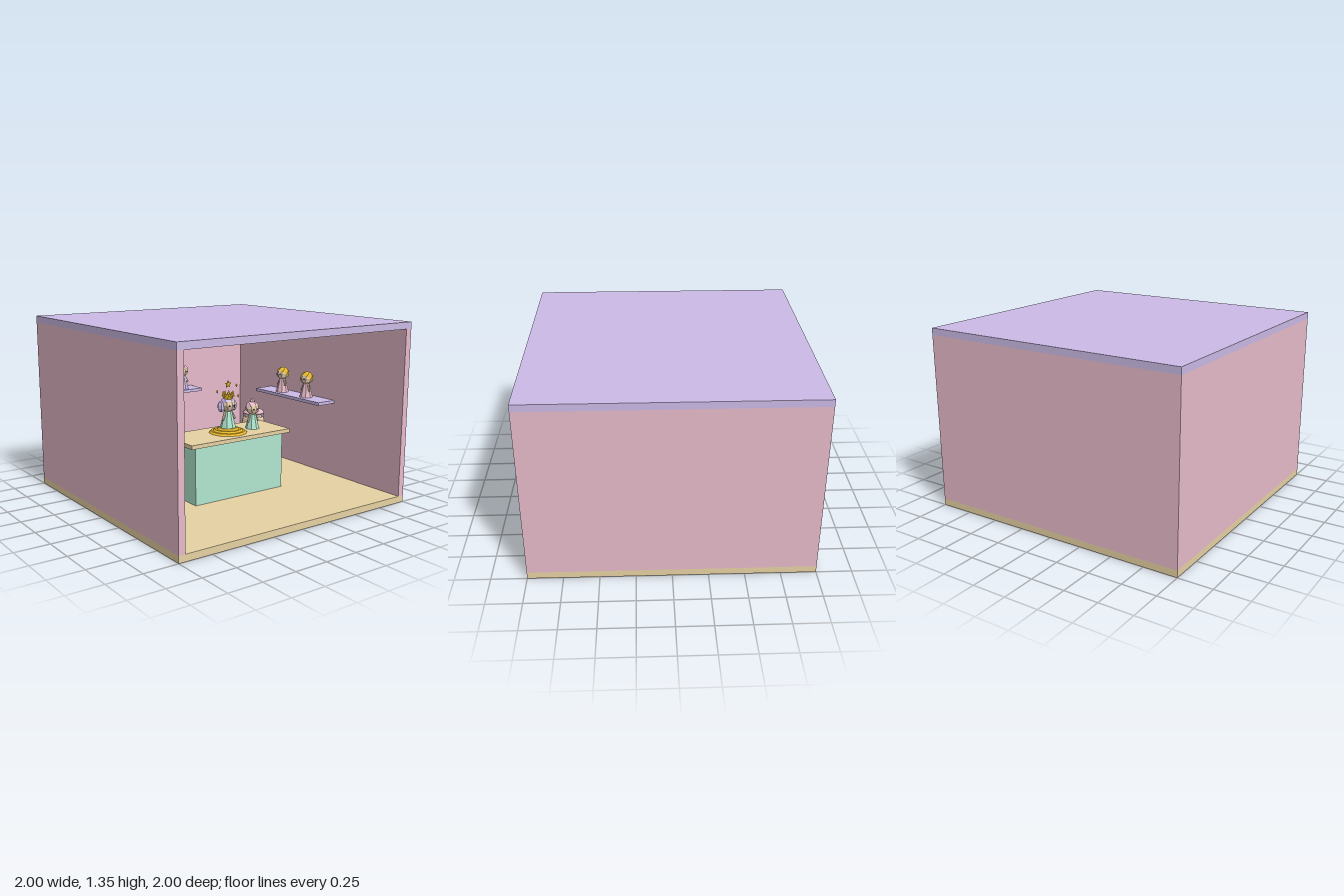
import * as THREE from 'three';

const paint = (name, color) => new THREE.MeshStandardMaterial({ name, color, flatShading: true });
const M = {
  pink: paint('pink', 0xf0c2d2),
  lavender: paint('lavender', 0xd4c2f0),
  mint: paint('mint', 0xb8f0d8),
  cream: paint('cream', 0xf0daaa),
  gold: paint('gold', 0xf2c02e),
  skin: paint('skin', 0xf0d8b4),
  white: paint('white', 0xfaeee8),
  dark: paint('dark', 0x3a2c30),
};

function add(parent, name, geometry, material, x = 0, y = 0, z = 0) {
  const mesh = new THREE.Mesh(geometry, material);
  mesh.name = name;
  mesh.position.set(x, y, z);
  parent.add(mesh);
  return mesh;
}

// Box given by its minimum and maximum corners
function block(parent, name, material, [x0, y0, z0], [x1, y1, z1]) {
  return add(parent, name, new THREE.BoxGeometry(x1 - x0, y1 - y0, z1 - z0), material,
    (x0 + x1) / 2, (y0 + y1) / 2, (z0 + z1) / 2);
}

const ball = (r, w = 8, h = 6) => new THREE.SphereGeometry(r, w, h);
const tube = (top, bottom, h, n = 8) => new THREE.CylinderGeometry(top, bottom, h, n);

// Tapered limb between two points
function limb(parent, name, material, from, to, r0, r1) {
  const a = new THREE.Vector3(...from), b = new THREE.Vector3(...to);
  const d = b.clone().sub(a);
  const mesh = add(parent, name, tube(r1, r0, d.length(), 6), material);
  mesh.position.copy(a).add(b).multiplyScalar(0.5);
  mesh.quaternion.setFromUnitVectors(new THREE.Vector3(0, 1, 0), d.normalize());
}

function face(parent, y, r) {
  for (const s of [-1, 1]) {
    add(parent, 'eye', ball(r * 0.13, 6, 4), M.dark, s * r * 0.38, y - r * 0.05, r * 0.86);
    add(parent, 'cheek', ball(r * 0.12, 6, 4), M.pink, s * r * 0.55, y - r * 0.35, r * 0.68);
  }
}

function starGeometry(r, depth) {
  const shape = new THREE.Shape();
  for (let i = 0; i < 10; i++) {
    const a = Math.PI / 2 + i * Math.PI / 5, q = i % 2 ? r * 0.45 : r;
    shape[i ? 'lineTo' : 'moveTo'](Math.cos(a) * q, Math.sin(a) * q);
  }
  return new THREE.ExtrudeGeometry(shape, { depth, bevelEnabled: false }).translate(0, 0, -depth / 2);
}

// Small doll standing on its own origin and facing +z
function doll(parent, name, dress, hair, style, x, y, z, turn = 0, scale = 1) {
  const g = new THREE.Group();
  g.name = name;
  g.position.set(x, y, z);
  g.rotation.y = turn;
  g.scale.setScalar(scale);
  parent.add(g);
  add(g, 'dress', tube(0.025, 0.054, 0.115), dress, 0, 0.0575, 0);
  add(g, 'collar', tube(0.018, 0.028, 0.012), M.white, 0, 0.112, 0);
  add(g, 'head', ball(0.05), M.skin, 0, 0.155, 0);
  const cap = new THREE.SphereGeometry(0.054, 8, 5, 0, Math.PI * 2, 0, Math.PI * 0.52);
  add(g, 'hair', cap, hair, 0, 0.156, -0.003).rotation.x = -0.65;
  face(g, 0.155, 0.05);
  for (const s of [-1, 1]) {
    limb(g, 'arm', M.skin, [s * 0.024, 0.107, 0], [s * 0.05, 0.055, 0.01], 0.009, 0.008);
    if (style === 'buns') add(g, 'sideBun', ball(0.015, 6, 5), hair, s * 0.043, 0.192, 0);
    if (style === 'pigtails') add(g, 'pigtail', ball(0.026, 6, 5), hair, s * 0.05, 0.145, -0.01).scale.y = 1.5;
  }
  if (style === 'topknot') add(g, 'topKnot', ball(0.018, 6, 5), hair, 0, 0.213, 0);
  return g;
}

function buildRoom(room) {
  block(room, 'floor', M.cream, [-1, 0, -1], [1, 0.05, 1]);
  block(room, 'ceiling', M.lavender, [-1, 1.3, -1], [1, 1.35, 1]);
  block(room, 'backWall', M.pink, [-0.95, 0.05, -1], [0.95, 1.3, -0.95]);
  for (const s of [-1, 1]) {
    block(room, 'sideWall', M.pink, [s * 0.975 - 0.025, 0.05, -1], [s * 0.975 + 0.025, 1.3, 1]);
    block(room, 'sideShelf', M.lavender, [s * 0.865 - 0.085, 0.64, -0.5], [s * 0.865 + 0.085, 0.665, 0.29]);
  }
  block(room, 'backShelf', M.lavender, [-0.4, 0.64, -0.95], [0.4, 0.665, -0.78]);
  block(room, 'counter', M.mint, [-0.4, 0.05, -0.02], [0.4, 0.48, 0.3]);
  block(room, 'counterTop', M.cream, [-0.45, 0.48, -0.05], [0.45, 0.51, 0.33]);
}

// Crowned doll on a stepped round stand, with sparkles around it
function buildShowpiece(room) {
  const g = new THREE.Group();
  g.name = 'showpiece';
  g.position.set(0, 0.51, 0.145);
  room.add(g);
  [[0.13, 0.145, 0.014, 0.007], [0.1, 0.115, 0.012, 0.02], [0.07, 0.085, 0.012, 0.032]]
    .forEach(([top, bottom, h, y]) => add(g, 'standStep', tube(top, bottom, h, 12), M.gold, 0, y, 0));
  doll(g, 'crownedDoll', M.mint, M.lavender, 'pigtails', 0, 0.038, 0, 0, 1.12);
  add(g, 'crownBand', tube(0.042, 0.036, 0.025, 10), M.gold, 0, 0.268, 0);
  for (let i = 0; i < 8; i++) {
    const a = i * Math.PI / 4;
    add(g, 'crownPoint', new THREE.ConeGeometry(0.013, 0.04, 4), M.gold,
      Math.sin(a) * 0.038, 0.296, Math.cos(a) * 0.038);
  }
  add(g, 'crownStar', starGeometry(0.028, 0.01), M.gold, 0, 0.365, 0);
  for (const [x, y, z] of [[-0.1, 0.32, 0], [0.077, 0.35, 0], [0.094, 0.268, 0]]) {
    add(g, 'sparkle', new THREE.OctahedronGeometry(0.011), M.gold, x, y, z).scale.y = 1.3;
  }
}

function buildDolls(room) {
  doll(room, 'bunDoll', M.lavender, M.cream, 'buns', -0.25, 0.665, -0.86);
  doll(room, 'middleDoll', M.lavender, M.cream, 'plain', 0, 0.665, -0.86);
  doll(room, 'topKnotDoll', M.lavender, M.pink, 'topknot', 0.25, 0.665, -0.86);
  doll(room, 'counterDoll', M.mint, M.pink, 'topknot', 0.23, 0.51, 0.147);
  for (const z of [0.05, -0.25]) {
    doll(room, 'leftShelfDoll', M.cream, M.lavender, 'plain', -0.865, 0.665, z, Math.PI / 2);
    doll(room, 'rightShelfDoll', M.pink, M.gold, 'plain', 0.865, 0.665, z, -Math.PI / 2);
  }
}

// Shopkeeper standing beside the counter, turned a little toward it
function buildKeeper(room) {
  const g = new THREE.Group();
  g.name = 'shopkeeper';
  g.position.set(0.515, 0.05, -0.2);
  g.rotation.y = -0.35;
  room.add(g);
  add(g, 'coat', tube(0.05, 0.08, 0.17), M.cream, 0, 0.225, 0);
  const apron = block(g, 'apron', M.white, [-0.045, 0.15, 0.076], [0.045, 0.28, 0.084]);
  apron.rotation.x = -0.14;
  add(g, 'head', ball(0.097, 10, 8), M.skin, 0, 0.405, 0);
  face(g, 0.395, 0.097);
  add(g, 'nose', ball(0.01, 6, 4), M.dark, 0, 0.375, 0.094);
  add(g, 'hatBand', tube(0.085, 0.08, 0.025, 10), M.white, 0, 0.465, 0);
  add(g, 'hatCrown', ball(0.092, 10, 6), M.pink, 0, 0.488, 0).scale.y = 0.36;
  add(g, 'hatBobble', ball(0.013, 6, 5), M.gold, 0, 0.523, 0);
  add(g, 'bowKnot', ball(0.01, 6, 4), M.gold, 0, 0.298, 0.062);
  for (const s of [-1, 1]) {
    const bow = add(g, 'bowLoop', new THREE.ConeGeometry(0.015, 0.03, 4), M.gold, s * 0.018, 0.298, 0.06);
    bow.rotation.z = s * Math.PI / 2;
    limb(g, 'arm', M.cream, [s * 0.05, 0.295, 0], [s * 0.112, 0.185, 0.01], 0.02, 0.018);
    add(g, 'hand', ball(0.019, 6, 5), M.skin, s * 0.115, 0.175, 0.01);
    add(g, 'leg', tube(0.017, 0.017, 0.13), M.lavender, s * 0.036, 0.085, 0);
    add(g, 'shoe', ball(0.022), M.cream, s * 0.036, 0.018, 0.01).scale.set(1, 0.8, 1.4);
  }
}

export function createModel() {
  const room = new THREE.Group();
  room.name = 'dollShop';
  buildRoom(room);
  buildShowpiece(room);
  buildDolls(room);
  buildKeeper(room);
  return room;
}
